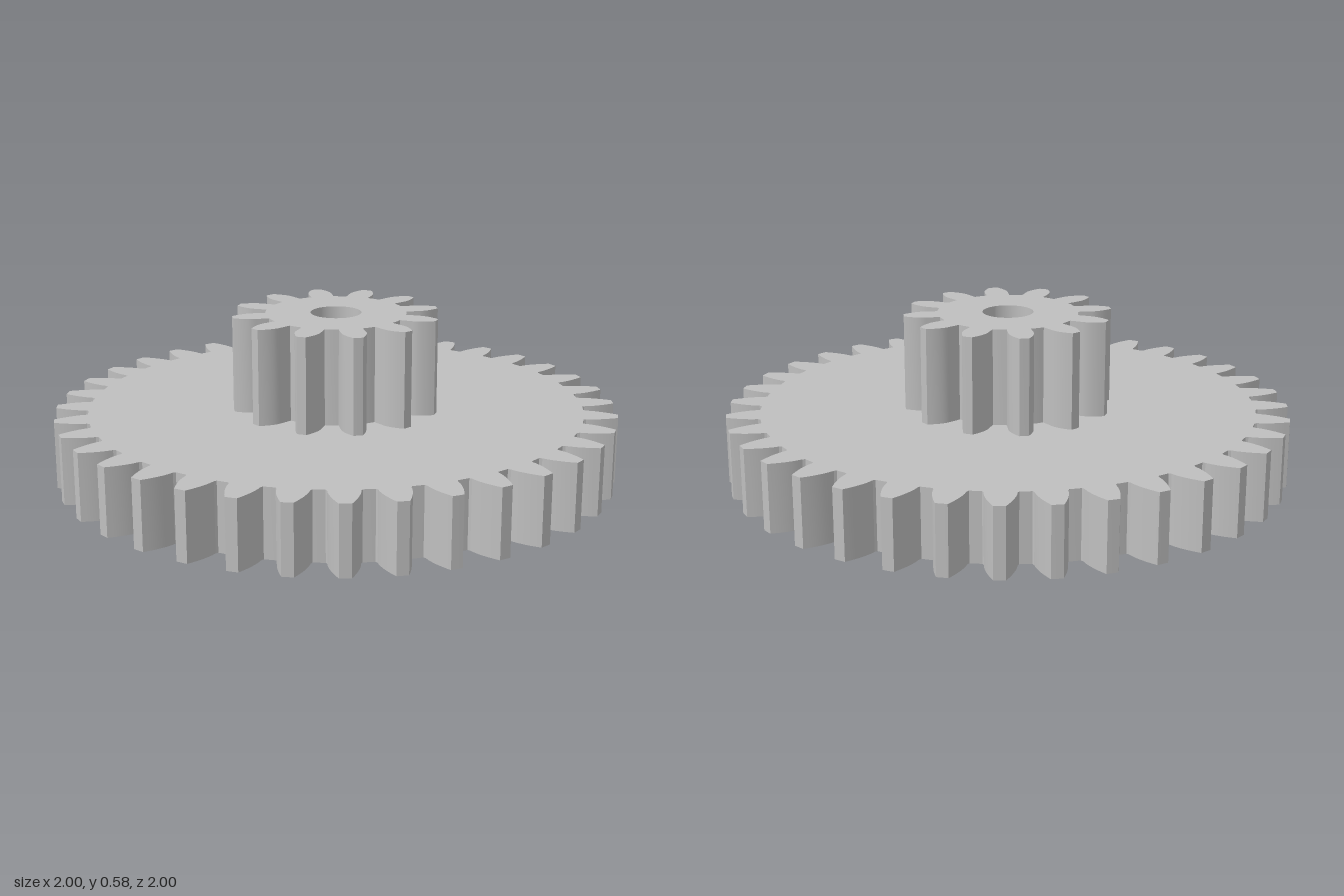
import * as THREE from 'three';
import { toCreasedNormals } from 'three/addons/utils/BufferGeometryUtils.js';

const MODULE = 1 / 19;                 // tooth size shared by both gears
const PRESSURE = THREE.MathUtils.degToRad(20);
const BORE = 0.09;
const involute = (a) => Math.tan(a) - a;

// Outline of a spur gear with involute flanks and a round bore
function gearShape(teeth) {
  const pitch = MODULE * teeth / 2;
  const base = pitch * Math.cos(PRESSURE);
  const tip = pitch + MODULE;
  const root = pitch - 1.25 * MODULE;
  const halfAngle = (r) =>
    Math.PI / (2 * teeth) + involute(PRESSURE) - involute(Math.acos(Math.min(1, base / r)));

  // One flank from root to tip as [radius, half angle]
  const flank = [[root, halfAngle(base) + 0.005 / root]];
  const steps = 6;
  for (let i = 0; i <= steps; i++) {
    const r = base + (tip - base) * i / steps;
    flank.push([r, halfAngle(r)]);
  }

  const points = [];
  const add = (r, a) => points.push(new THREE.Vector2(r * Math.cos(a), r * Math.sin(a)));
  for (let t = 0; t < teeth; t++) {
    const mid = t * 2 * Math.PI / teeth;
    flank.forEach(([r, a]) => add(r, mid - a));
    add(tip, mid);
    [...flank].reverse().forEach(([r, a]) => add(r, mid + a));
    add(root, mid + Math.PI / teeth);
  }
  const shape = new THREE.Shape(points);
  shape.holes.push(new THREE.Path().absarc(0, 0, BORE, 0, Math.PI * 2, true));
  return shape;
}

function gear(name, teeth, bottom, top, material) {
  const solid = new THREE.ExtrudeGeometry(gearShape(teeth), {
    depth: top - bottom, bevelEnabled: false, curveSegments: 32,
  });
  solid.rotateX(-Math.PI / 2);
  solid.translate(0, bottom, 0);
  const mesh = new THREE.Mesh(toCreasedNormals(solid, Math.PI / 9), material);
  mesh.name = name;
  return mesh;
}

export function createModel() {
  const grey = new THREE.MeshStandardMaterial({ color: 0xbfbfbf });
  grey.name = 'plain grey';

  const model = new THREE.Group();
  model.name = 'compoundGear';
  model.add(gear('largeGear', 36, 0, 0.24, grey));
  model.add(gear('smallGear', 12, 0.24, 0.58, grey));
  return model;
}
